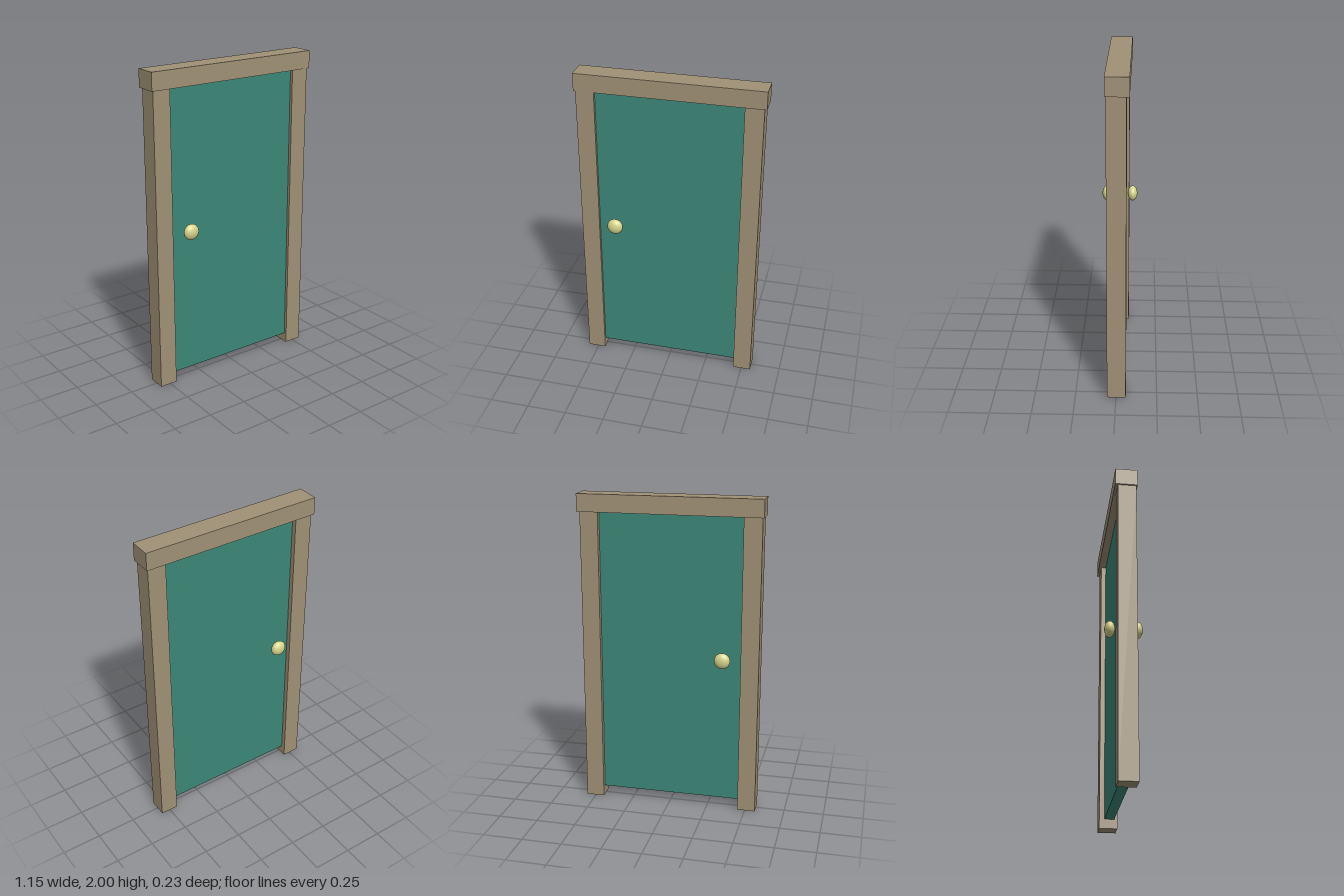
import * as THREE from 'three';

export function createModel() {
  const model = new THREE.Group();
  const wood = new THREE.MeshStandardMaterial({ color: 0xa09176 });
  const paint = new THREE.MeshStandardMaterial({ color: 0x3c8878 });
  const brass = new THREE.MeshStandardMaterial({ color: 0xd6d48c });

  // Box given by its minimum and maximum corners
  function block(name, min, max, material) {
    const size = max.map((v, i) => v - min[i]);
    const mesh = new THREE.Mesh(new THREE.BoxGeometry(...size), material);
    mesh.position.set(...max.map((v, i) => (v + min[i]) / 2));
    mesh.name = name;
    model.add(mesh);
  }

  // Frame: two posts under an overhanging lintel
  block('rightPost', [-0.566, 0, -0.06], [-0.453, 1.89, 0.055], wood);
  block('leftPost', [0.446, 0, -0.06], [0.56, 1.89, 0.055], wood);
  block('lintel', [-0.576, 1.89, -0.077], [0.574, 2, 0.062], wood);

  // Door panel, recessed on both faces and clear of the floor
  block('doorPanel', [-0.453, 0.06, -0.028], [0.446, 1.89, 0.035], paint);

  // Flattened round knobs on both faces
  for (const [name, z] of [['frontKnob', 0.083], ['backKnob', -0.084]]) {
    const knob = new THREE.Mesh(new THREE.SphereGeometry(0.05, 32, 20), brass);
    knob.scale.z = 0.64;
    knob.position.set(-0.341, 1.005, z);
    knob.name = name;
    model.add(knob);
  }

  return model;
}
